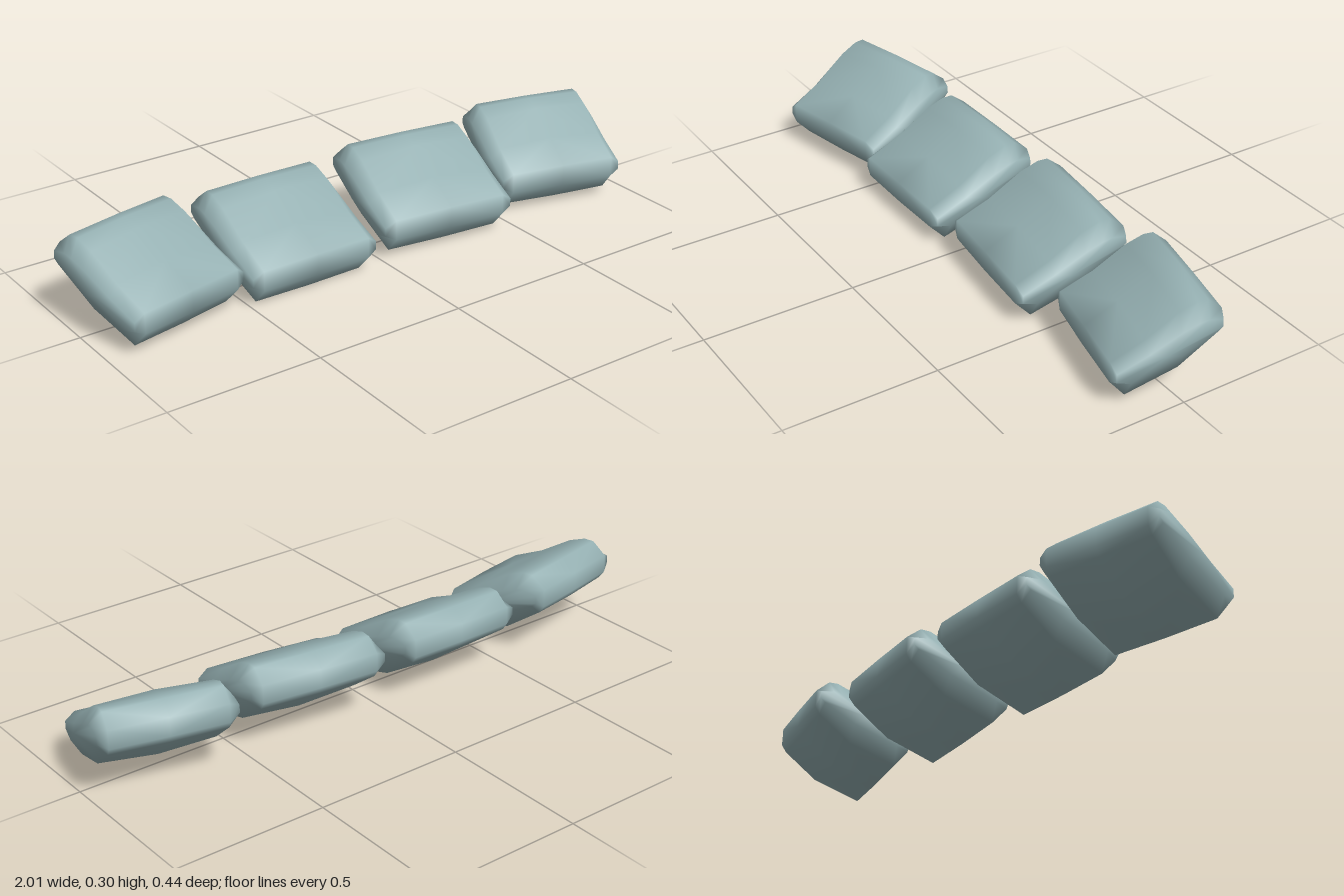
import * as THREE from 'three';

// Side profile of one pad as [z, y, fullness near the ends],
// from the front down, under, up the back and over the top
const PROFILE = [
  [0.168, 0.06, 0.95], [0.115, 0.003, 0.98], [-0.065, 0.046, 0.88], [-0.19, 0.145, 0.95],
  [-0.207, 0.172, 1], [-0.205, 0.232, 1], [-0.155, 0.272, 0.98], [-0.12, 0.274, 0.96],
  [-0.06, 0.258, 0.9], [0.055, 0.19, 0.82], [0.168, 0.13, 0.95],
];
const midline = (z) => 0.142 - 0.315 * z;

// Cross-sections along the pad: [x as a share of the half width, end amount, thickness, depth scale]
const STATIONS = [
  [-1, 1, 0.42, 0.94], [-0.85, 1, 1, 0.99], [0, 0, 1, 1], [0.85, 1, 1, 0.99], [1, 1, 0.42, 0.94],
];

function padGeometry(halfWidth, depth) {
  const n = PROFILE.length;
  const pos = [];
  const index = [];
  for (const [u, end, thick, deep] of STATIONS) {
    for (const [z, y, full] of PROFILE) {
      const m = midline(z);
      const scale = thick * (end ? full : 1);
      pos.push(u * halfWidth, m + (y - m) * scale, z * deep * depth);
    }
  }
  for (let i = 0; i < STATIONS.length - 1; i++) {
    for (let j = 0; j < n; j++) {
      const a = i * n + j, b = i * n + (j + 1) % n;
      // Mirror the diagonals about the middle of the pad
      if (i < 2) index.push(a, b, a + n, b, b + n, a + n);
      else index.push(a, b, b + n, a, b + n, a + n);
    }
  }
  // Slightly bulging end caps
  for (const side of [-1, 1]) {
    const c = pos.length / 3;
    const base = side < 0 ? 0 : (STATIONS.length - 1) * n;
    pos.push(side * (halfWidth + 0.016), midline(0), 0);
    for (let j = 0; j < n; j++) {
      const a = base + j, b = base + (j + 1) % n;
      if (side > 0) index.push(c, a, b);
      else index.push(c, b, a);
    }
  }
  const g = new THREE.BufferGeometry();
  g.setAttribute('position', new THREE.Float32BufferAttribute(pos, 3));
  g.setIndex(index);
  g.computeVertexNormals();
  return g;
}

export function createModel() {
  const model = new THREE.Group();
  model.name = 'padRow';
  const material = new THREE.MeshStandardMaterial({ color: 0x95b0b2 });
  material.name = 'greyTeal';

  // Four cushions fanned along a shallow arc
  const pads = [
    { name: 'outerRightPad', x: -0.757, y: 0.019, turn: 12, half: 0.212, depth: 0.98, z: 0.018 },
    { name: 'innerRightPad', x: -0.28, y: 0, turn: 0, half: 0.224, depth: 1, z: 0 },
    { name: 'innerLeftPad', x: 0.25, y: 0.014, turn: -6.5, half: 0.232, depth: 0.98, z: 0.002 },
    { name: 'outerLeftPad', x: 0.753, y: 0.025, turn: -13, half: 0.215, depth: 0.9, z: 0 },
  ];
  for (const p of pads) {
    const mesh = new THREE.Mesh(padGeometry(p.half, p.depth), material);
    mesh.name = p.name;
    mesh.position.set(p.x, p.y, p.z);
    mesh.rotation.y = THREE.MathUtils.degToRad(p.turn);
    model.add(mesh);
  }
  return model;
}
